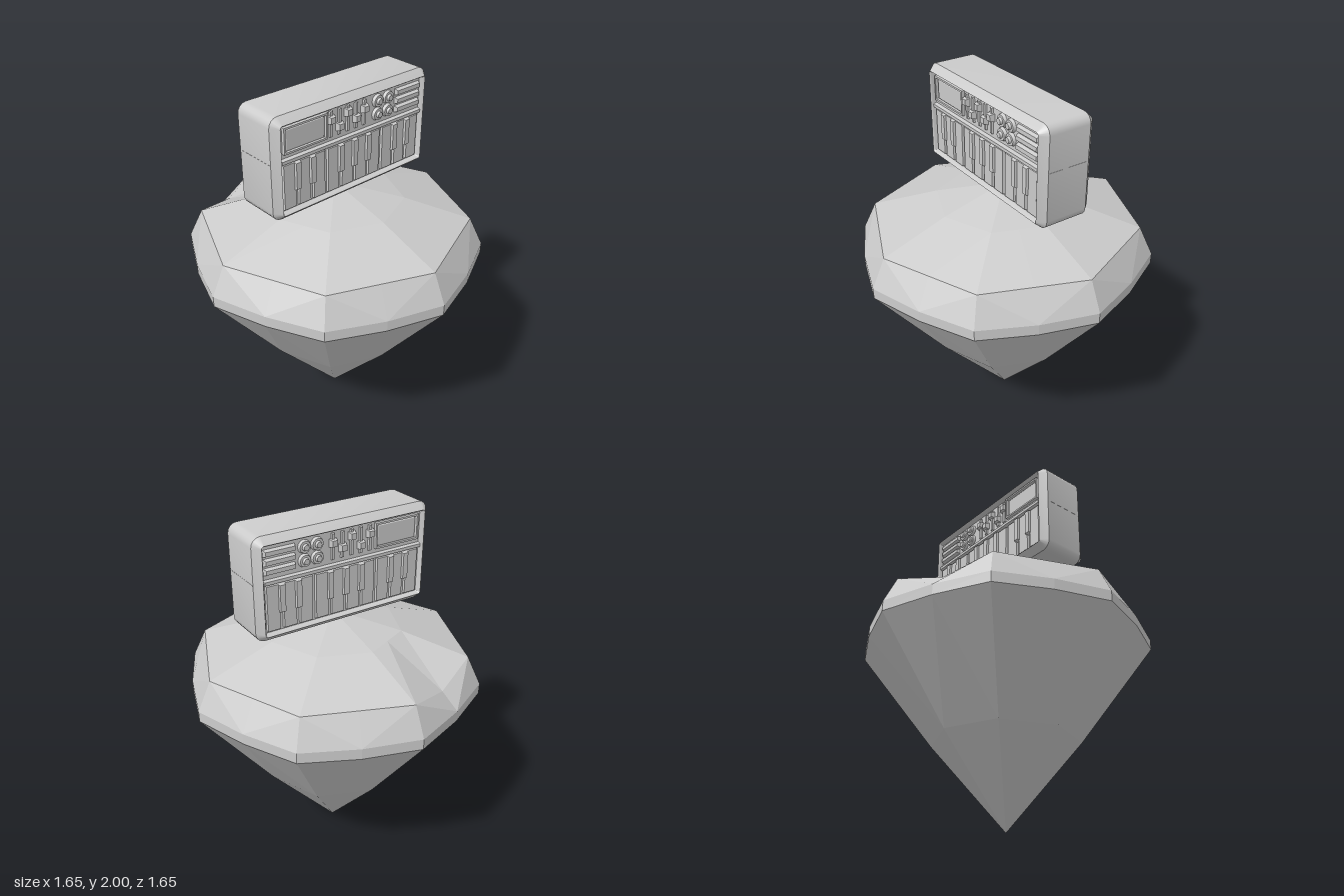
import * as THREE from 'three';
import { toCreasedNormals } from 'three/addons/utils/BufferGeometryUtils.js';

const mat = () => new THREE.MeshStandardMaterial({ color: 0xcccccc });

function add(parent, geo, name, x = 0, y = 0, z = 0) {
  const m = new THREE.Mesh(geo, mat());
  m.name = name;
  m.position.set(x, y, z);
  parent.add(m);
  return m;
}

function fromPoints(pts) {
  const g = new THREE.BufferGeometry().setFromPoints(pts);
  g.computeVertexNormals();
  return g;
}

// Faceted gem: eight repeated sectors of pavilion, girdle, band and crown
function gem() {
  const out = [];
  const tri = (...p) => out.push(...p);
  const at = (r, y, k) => {
    const t = k * Math.PI / 4;
    return new THREE.Vector3(r * Math.sin(t), y, r * Math.cos(t));
  };
  const tip = at(0, 0, 0), top = at(0, 1.45, 0);
  for (let k = 0; k < 8; k++) {
    const low = at(0.415, 0.48, k), low2 = at(0.415, 0.48, k + 1);
    const g = at(0.825, 1.02, k), gm = at(0.785, 1.02, k + 0.5), g2 = at(0.825, 1.02, k + 1);
    const h = at(0.825, 1.08, k), hm = at(0.785, 1.08, k + 0.5), h2 = at(0.825, 1.08, k + 1);
    const r = at(0.748, 1.24, k), r2 = at(0.748, 1.24, k + 1);
    const t = at(0.38, 1.36, k), t2 = at(0.38, 1.36, k + 1);
    const rm = r.clone().lerp(r2, 0.5), tm = t.clone().lerp(t2, 0.5);
    if (k === 6) rm.y = 1.17; // dented crown corner
    // pavilion
    tri(tip, low2, low, low, low2, gm, low, gm, g, low2, g2, gm);
    // girdle
    tri(g, gm, hm, g, hm, h, gm, g2, h2, gm, h2, hm);
    // band
    tri(h, hm, r, hm, rm, r, hm, r2, rm, hm, h2, r2);
    // crown and cap
    tri(r, rm, tm, r, tm, t, rm, t2, tm, rm, r2, t2);
    tri(t, t2, top);
  }
  return fromPoints(out);
}

// Rounded rectangle in the y-z plane, counterclockwise seen from +x
function ring(x, inset) {
  const hy = 0.275 - inset, hz = 0.52 - inset, rad = Math.max(0.05 - inset, 0.004), pts = [];
  [[1, 1], [-1, 1], [-1, -1], [1, -1]].forEach(([sy, sz], c) => {
    for (let i = 0; i <= 4; i++) {
      const a = (c + i / 4) * Math.PI / 2;
      pts.push(new THREE.Vector3(x, sy * (hy - rad) + rad * Math.cos(a), sz * (hz - rad) + rad * Math.sin(a)));
    }
  });
  return pts;
}

// Keyboard case: chamfered shell with a recessed panel on both sides
function caseGeometry() {
  const half = [[0.128, 0.046], [0.152, 0.042], [0.16, 0.036], [0.12, 0]];
  const profile = [...half.map(([x, i]) => [-x, i]), ...half.slice().reverse()];
  const rings = profile.map(([x, i]) => ring(x, i));
  const out = [], n = rings[0].length;
  const first = rings[0], last = rings[rings.length - 1];
  const c0 = new THREE.Vector3(first[0].x, 0, 0), c1 = new THREE.Vector3(last[0].x, 0, 0);
  for (let j = 0; j < n; j++) {
    const q = (j + 1) % n;
    out.push(c0, first[q], first[j], c1, last[j], last[q]);
    for (let i = 0; i < rings.length - 1; i++) {
      const a = rings[i], b = rings[i + 1];
      out.push(a[j], a[q], b[q], a[j], b[q], b[j]);
    }
  }
  return toCreasedNormals(fromPoints(out), 0.5);
}

// Four-sided block that narrows towards its outer (side) face
function taperBox(d, h, w, taper) {
  const g = new THREE.BoxGeometry(d, h, w), p = g.attributes.position;
  for (let i = 0; i < p.count; i++) if (p.getX(i) > 0) {
    p.setY(i, p.getY(i) - Math.sign(p.getY(i)) * taper);
    p.setZ(i, p.getZ(i) - Math.sign(p.getZ(i)) * taper);
  }
  const flat = g.toNonIndexed();
  flat.computeVertexNormals();
  return flat;
}

// Controls and keys for the +x side; local y and z are relative to the case centre
function panel() {
  const p = new THREE.Group(), X = 0.128;
  const block = (name, d, y0, y1, z0, z1, taper = 0) =>
    add(p, taperBox(d, y1 - y0, z1 - z0, taper), name, X + d / 2, (y0 + y1) / 2, (z0 + z1) / 2);

  block('divider', 0.022, 0.03, 0.055, -0.475, 0.475, 0.004);

  // display with a raised surround
  block('display', 0.008, 0.085, 0.21, 0.19, 0.445, 0.012);
  for (const y of [0.08, 0.208]) block('displayFrame', 0.018, y, y + 0.01, 0.185, 0.452);
  for (const z of [0.182, 0.444]) block('displayFrame', 0.018, 0.08, 0.218, z, z + 0.01);

  // sliders
  const heights = [0.17, 0.12, 0.18, 0.13, 0.165];
  heights.forEach((y, i) => {
    const z = 0.152 - i * 0.056;
    block('sliderTrack', 0.01, 0.075, 0.215, z - 0.01, z + 0.01, 0.003);
    block('sliderKnob', 0.026, y - 0.022, y + 0.022, z - 0.021, z + 0.021, 0.006);
  });

  // round knobs
  for (const y of [0.108, 0.18]) for (const z of [-0.165, -0.238]) {
    const base = add(p, new THREE.CylinderGeometry(0.031, 0.036, 0.016, 12), 'knobBase', X + 0.008, y, z);
    const cap = add(p, new THREE.CylinderGeometry(0.015, 0.019, 0.014, 12), 'knobCap', X + 0.022, y, z);
    base.rotation.z = cap.rotation.z = -Math.PI / 2;
  }

  // long buttons
  for (const y of [0.078, 0.125, 0.172])
    block('longButton', 0.02, y, y + 0.036, -0.465, -0.29, 0.007);

  // white keys, with black keys over the gaps in an octave pattern
  const count = 10, pitch = 0.94 / count;
  for (let i = 0; i < count; i++) {
    const z = 0.47 - (i + 0.5) * pitch;
    block('whiteKey', 0.013, -0.222, 0.025, z - pitch / 2 + 0.008, z + pitch / 2 - 0.008, 0.003);
    if (i < count - 1 && ![2, 6].includes(i % 7))
      block('blackKey', 0.026, -0.13, 0.025, z - pitch / 2 - 0.021, z - pitch / 2 + 0.021, 0.006);
  }
  return p;
}

export function createModel() {
  const model = new THREE.Group();
  model.name = 'keyboardOnGem';
  add(model, gem(), 'gem');

  const keyboard = new THREE.Group();
  keyboard.name = 'keyboard';
  keyboard.position.set(0, 1.725, -0.01);
  model.add(keyboard);
  add(keyboard, caseGeometry(), 'case');

  // thin seam on each end
  for (const s of [-1, 1]) add(keyboard, new THREE.BoxGeometry(0.24, 0.004, 0.002), 'seam', 0, 0.035, s * 0.52);

  // matching control panels on both sides
  for (const s of [1, -1]) {
    const side = panel();
    side.name = s > 0 ? 'leftPanel' : 'rightPanel';
    side.scale.x = s;
    keyboard.add(side);
  }
  return model;
}
